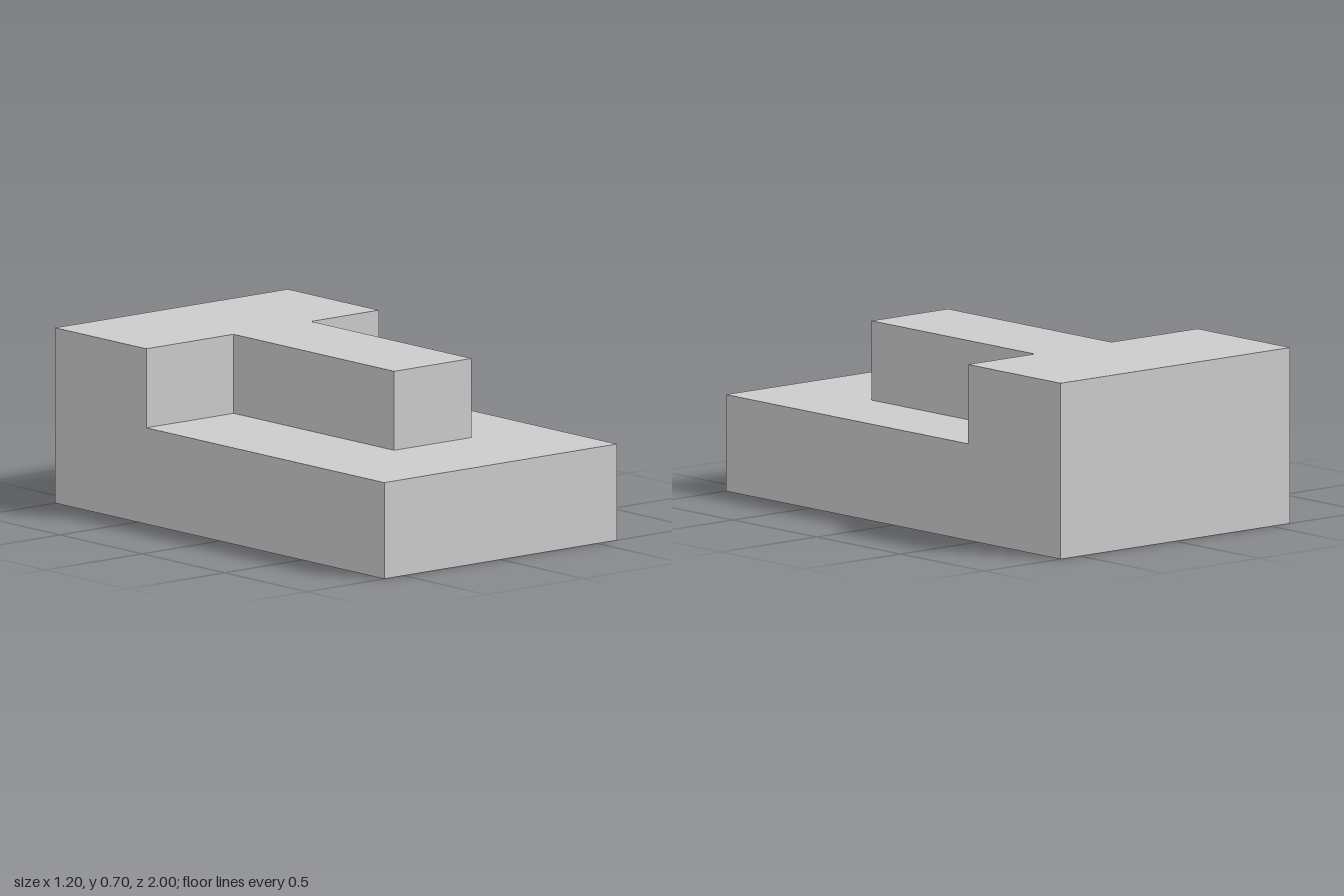
import * as THREE from 'three';

const W = 0.6, BACK = -1, FRONT = 1;   // half width and depth limits
const STEP = 0.386, TOP = 0.703;       // heights of the two levels

export function createModel() {
  const model = new THREE.Group();
  const grey = new THREE.MeshStandardMaterial({ color: 0xcccccc, flatShading: true });

  // Extrudes an outline of [x, z] points upward from y0 to y1
  const addPrism = (name, outline, y0, y1) => {
    const shape = new THREE.Shape(outline.map(([x, z]) => new THREE.Vector2(x, -z)));
    const geometry = new THREE.ExtrudeGeometry(shape, { depth: y1 - y0, bevelEnabled: false });
    geometry.rotateX(-Math.PI / 2).translate(0, y0, 0);
    const mesh = new THREE.Mesh(geometry, grey);
    mesh.name = name;
    model.add(mesh);
  };

  // Full-size slab
  addPrism('baseSlab', [[-W, FRONT], [W, FRONT], [W, BACK], [-W, BACK]], 0, STEP);

  // Raised rear block with an off-centre arm reaching forward
  const armLeft = 0.25, armRight = -0.15, armFront = 0.53, blockFront = -0.446;
  addPrism('raisedBlockAndArm', [
    [-W, BACK], [-W, blockFront], [armRight, blockFront], [armRight, armFront],
    [armLeft, armFront], [armLeft, blockFront], [W, blockFront], [W, BACK],
  ], STEP, TOP);

  return model;
}
